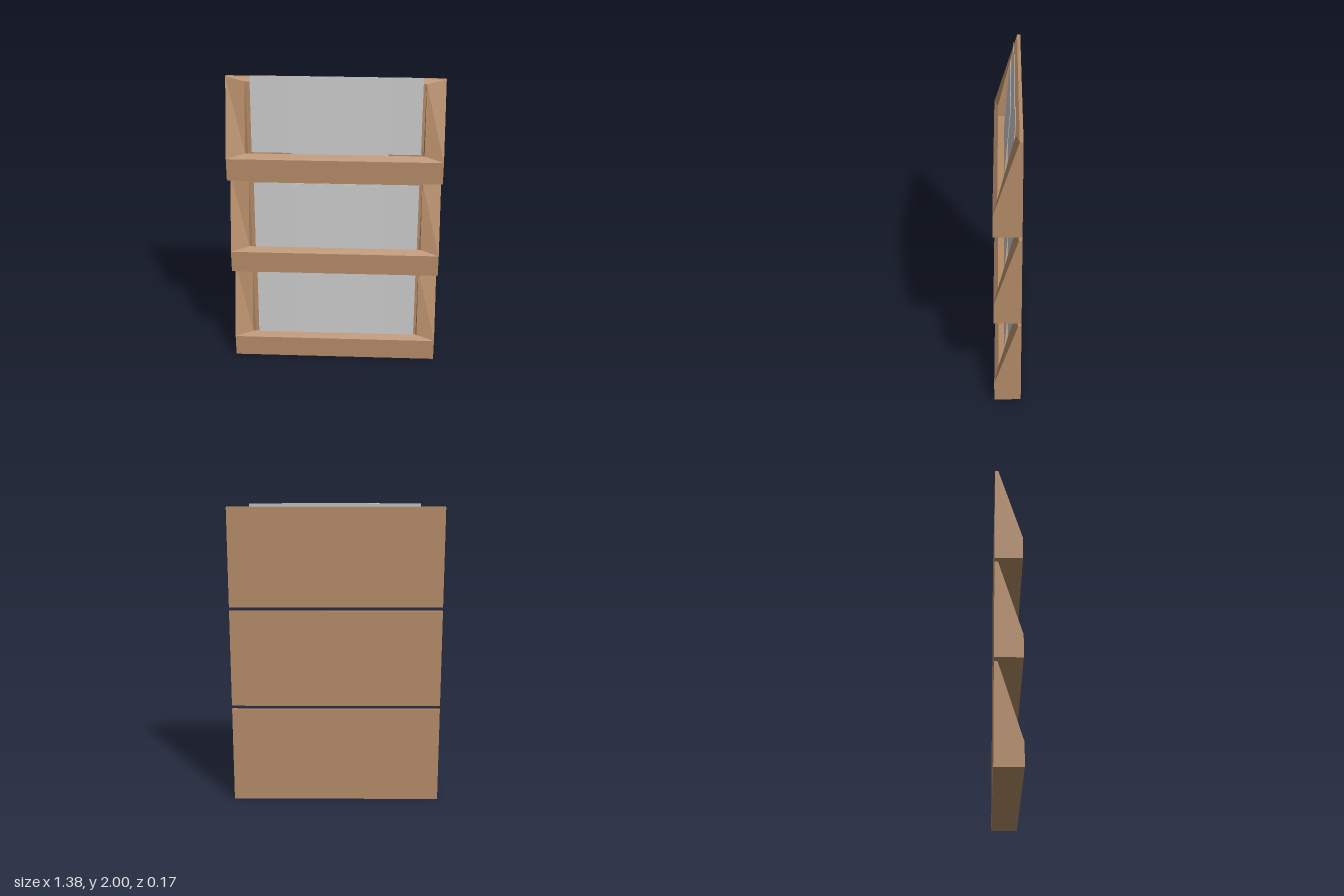
import * as THREE from 'three';

const wood = new THREE.MeshStandardMaterial({ color: 0xb58c68 });
wood.name = 'wood';
const paper = new THREE.MeshStandardMaterial({ color: 0xc8c8c8, side: THREE.DoubleSide });
paper.name = 'paper';

const PITCH = 0.67;

// One rectangular loop: half width, then y and z of its lower and upper edges
function loop(w, yLow, zLow, yHigh, zHigh) {
  return [[-w, yLow, zLow], [w, yLow, zLow], [w, yHigh, zHigh], [-w, yHigh, zHigh]]
    .map(p => new THREE.Vector3(...p));
}

// Wedge-shaped tray skinned over loops from its back, round the rim, into the pocket
function trayGeometry() {
  const loops = [
    loop(0.69, 0, -0.087, 0.645, -0.087),      // back
    loop(0.69, 0, 0.088, 0.645, -0.066),       // lower front edge
    loop(0.69, 0.148, 0.088, 0.645, -0.066),   // outer rim
    loop(0.568, 0.18, 0.062, 0.62, -0.045),    // inner rim
    loop(0.568, 0.1, 0.062, 0.62, -0.045),     // pocket floor, front
    loop(0.568, 0.1, -0.066, 0.62, -0.066),    // pocket back wall
  ];
  const points = [];
  const tri = (a, b, c) => {
    if (new THREE.Triangle(a, b, c).getArea() > 1e-7) points.push(a, b, c);
  };
  const quad = (a, b, c, d) => { tri(a, b, c); tri(a, c, d); };
  for (let k = 0; k < loops.length - 1; k++) {
    for (let i = 0; i < 4; i++) {
      const j = (i + 1) % 4;
      quad(loops[k][i], loops[k][j], loops[k + 1][j], loops[k + 1][i]);
    }
  }
  quad(...[...loops[0]].reverse());
  quad(...loops[loops.length - 1]);
  const geometry = new THREE.BufferGeometry().setFromPoints(points);
  geometry.computeVertexNormals();
  return geometry;
}

// Thin card leaning back between two heights
function card(name, x0, x1, y0, y1, z0, z1) {
  const height = Math.hypot(y1 - y0, z1 - z0);
  const mesh = new THREE.Mesh(new THREE.BoxGeometry(x1 - x0, height, 0.003), paper);
  mesh.name = name;
  mesh.position.set((x0 + x1) / 2, (y0 + y1) / 2, (z0 + z1) / 2);
  mesh.rotation.x = Math.atan2(z1 - z0, y1 - y0);
  return mesh;
}

export function createModel() {
  const model = new THREE.Group();
  model.name = 'cardRack';
  const geometry = trayGeometry();
  const cardTops = [0.625, 0.6, 0.66];

  cardTops.forEach((top, i) => {
    const tier = new THREE.Group();
    tier.name = 'tier' + (i + 1);
    tier.position.y = i * PITCH;
    const tray = new THREE.Mesh(geometry, wood);
    tray.name = 'tray';
    // wide card at the back, narrow card in front of it
    tier.add(
      tray,
      card('wideCard', -0.535, 0.548, top - 0.5, top, -0.006, -0.043),
      card('narrowCard', -0.275, 0.34, top - 0.5, top, 0.021, -0.018),
    );
    model.add(tier);
  });
  return model;
}
